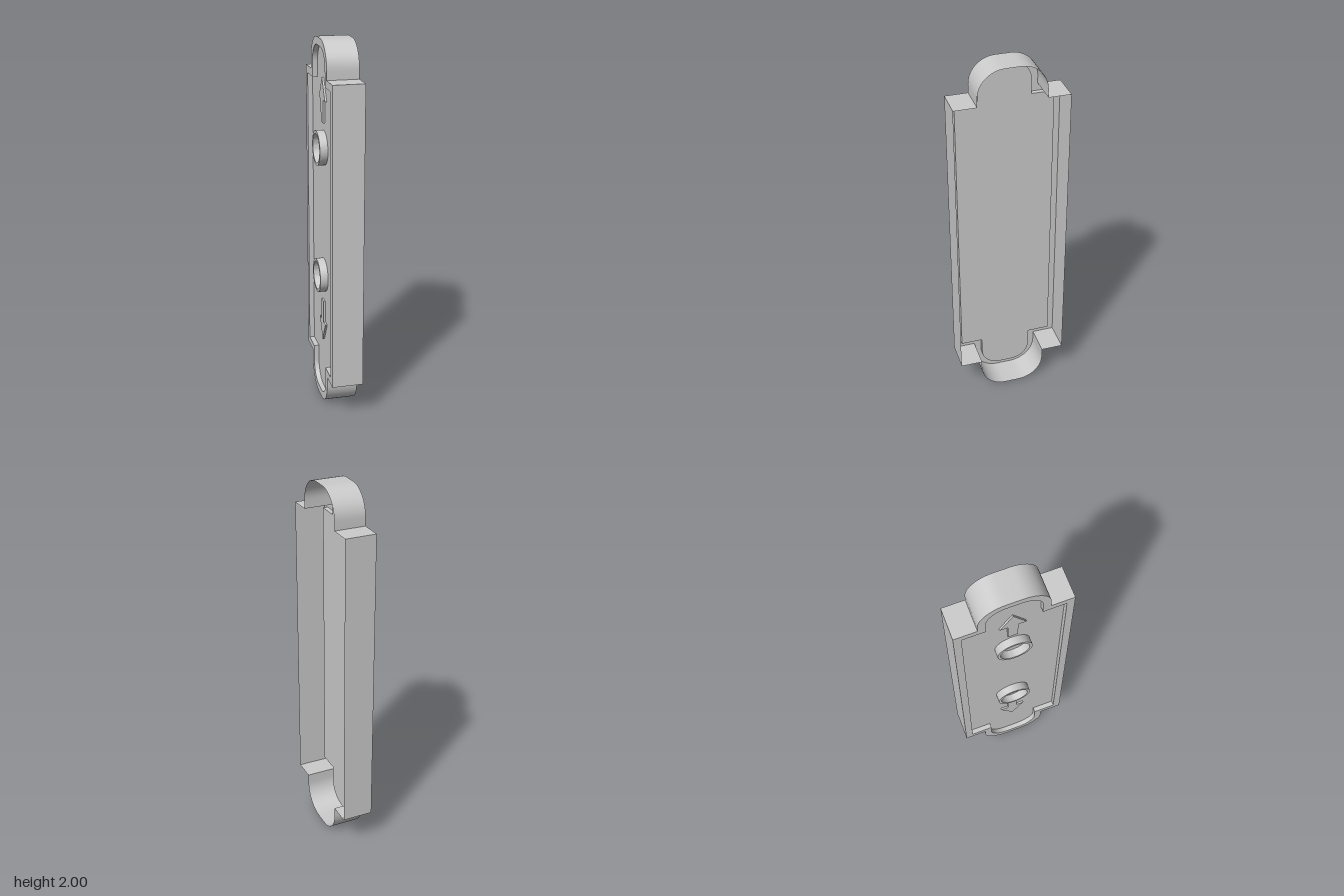
import * as THREE from 'three';
import { toCreasedNormals } from 'three/addons/utils/BufferGeometryUtils.js';

const material = new THREE.MeshStandardMaterial({ color: 0xcccccc, side: THREE.DoubleSide });

// Depths along the plate's facing axis (+z locally, turned to -x at the end)
const OPEN = -0.09, RIM = 0.077, FLOOR = 0.05, KNOB = 0.092;

function mesh(name, geometry) {
  const m = new THREE.Mesh(geometry, material);
  m.name = name;
  return m;
}

// Plate outline, counter-clockwise: a rectangle with a rounded lobe at each end
function outline(inset) {
  const w = 0.3 - inset, lobe = 0.18 - inset, r = 0.14 - inset * 0.9;
  const low = 0.19 + inset, high = 1.815 - inset;
  const bottom = inset, top = 2 - inset;
  const pts = [];
  const add = (x, y) => pts.push(new THREE.Vector2(x, y));
  const arc = (cx, cy, start) => {
    for (let i = 0; i <= 12; i++) {
      const a = start + (i / 12) * Math.PI / 2;
      add(cx + r * Math.cos(a), cy + r * Math.sin(a));
    }
  };
  add(lobe, low); add(w, low); add(w, high); add(lobe, high);
  arc(lobe - r, top - r, 0);
  arc(-lobe + r, top - r, Math.PI / 2);
  add(-lobe, high); add(-w, high); add(-w, low); add(-lobe, low);
  arc(-lobe + r, bottom + r, Math.PI);
  arc(lobe - r, bottom + r, Math.PI * 1.5);
  return pts;
}

// Closed band following an outline between two depths
function band(pts, z0, z1) {
  const pos = [];
  pts.forEach((a, i) => {
    const b = pts[(i + 1) % pts.length];
    pos.push(a.x, a.y, z0, b.x, b.y, z0, b.x, b.y, z1);
    pos.push(a.x, a.y, z0, b.x, b.y, z1, a.x, a.y, z1);
  });
  const g = new THREE.BufferGeometry();
  g.setAttribute('position', new THREE.Float32BufferAttribute(pos, 3));
  return toCreasedNormals(g, Math.PI / 5);
}

// Raised arrow pointing up (dir 1) or down (dir -1) from its tail
function arrow(tail, dir) {
  const pts = [[-0.026, 0], [0.026, 0], [0.026, 0.12], [0.068, 0.12], [0, 0.235],
    [-0.068, 0.12], [-0.026, 0.12]].map(([x, y]) => new THREE.Vector2(x, tail + dir * y));
  return new THREE.ExtrudeGeometry(new THREE.Shape(pts), { depth: 0.01, bevelEnabled: false });
}

export function createModel() {
  const plate = new THREE.Group();
  plate.name = 'plate';
  const outer = outline(0), inner = outline(0.04);

  // Thin shell: outer wall, flat rim, step down and recessed floor
  plate.add(mesh('outerWall', band(outer, OPEN, RIM)));
  const rimShape = new THREE.Shape(outer);
  rimShape.holes.push(new THREE.Path(inner));
  plate.add(mesh('rim', new THREE.ShapeGeometry(rimShape).translate(0, 0, RIM)));
  plate.add(mesh('innerWall', band(inner, RIM, FLOOR)));
  plate.add(mesh('floor', new THREE.ShapeGeometry(new THREE.Shape(inner)).translate(0, 0, FLOOR)));

  // Two round bosses standing proud of the rim
  const h = KNOB - FLOOR;
  const profile = [[0.092, 0], [0.092, h], [0.077, h], [0.077, 0]]
    .map(([r, y]) => new THREE.Vector2(r, y));
  const ring = toCreasedNormals(new THREE.LatheGeometry(profile, 48).rotateX(Math.PI / 2), Math.PI / 5);
  for (const y of [0.72, 1.43]) {
    const boss = mesh('ringBoss', ring);
    boss.position.set(0, y, FLOOR);
    plate.add(boss);
  }

  // Arrows pointing to the two ends
  for (const [name, tail, dir] of [['upArrow', 1.565, 1], ['downArrow', 0.57, -1]]) {
    const a = mesh(name, arrow(tail, dir));
    a.position.z = FLOOR;
    plate.add(a);
  }

  // Turn the recessed side to -x
  plate.rotation.y = -Math.PI / 2;
  const model = new THREE.Group();
  model.name = 'coverPlate';
  model.add(plate);
  return model;
}
